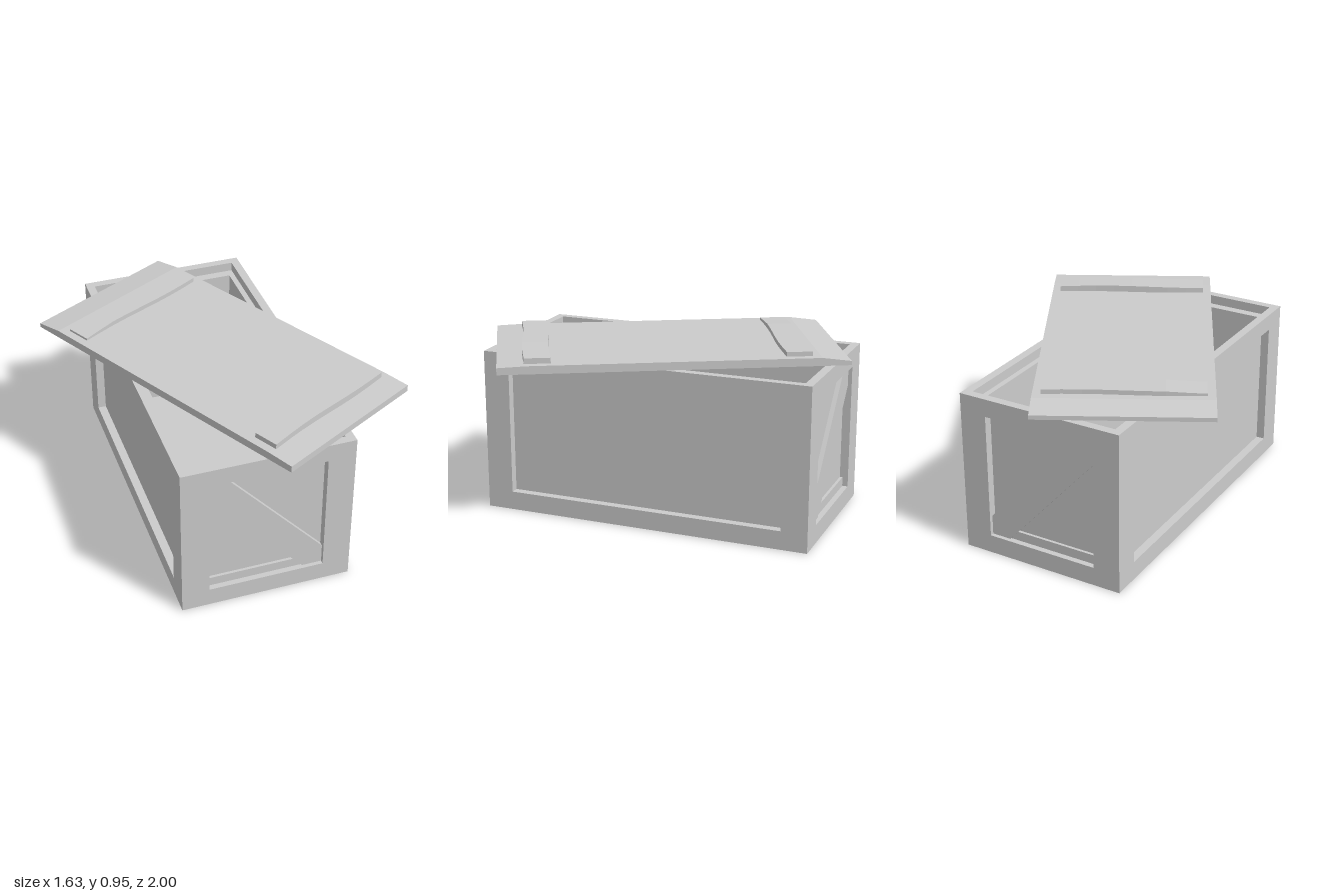
import * as THREE from 'three';

const mat = new THREE.MeshStandardMaterial({ color: 0xcccccc, flatShading: true });
const HX = 0.45, HZ = 0.897, H = 0.87; // half width, half length, height of the crate
const T = 0.045;                       // frame thickness

function add(parent, geo, name, x = 0, y = 0, z = 0) {
  const m = new THREE.Mesh(geo, mat);
  m.name = name;
  m.position.set(x, y, z);
  parent.add(m);
  return m;
}

function polygon(points) {
  return new THREE.Shape(points.map(([x, y]) => new THREE.Vector2(x, y)));
}

const rect = (x0, y0, x1, y1) => [[x0, y0], [x1, y0], [x1, y1], [x0, y1]];

// Flat slab with a rectangular opening, extruded along +z
function frame(outer, inner, depth) {
  const s = polygon(rect(...outer));
  s.holes.push(polygon(rect(...inner)));
  return new THREE.ExtrudeGeometry(s, { depth, bevelEnabled: false });
}

// Board with its vertices shifted by a rule
function warpedBoard(w, h, d, sx, sz, rule) {
  const g = new THREE.BoxGeometry(w, h, d, sx, 1, sz);
  const p = g.attributes.position, v = new THREE.Vector3();
  for (let i = 0; i < p.count; i++) {
    v.fromBufferAttribute(p, i);
    rule(v);
    p.setXYZ(i, v.x, v.y, v.z);
  }
  g.computeVertexNormals();
  return g;
}

export function createModel() {
  const model = new THREE.Group();
  model.name = 'openCrate';

  const crate = new THREE.Group();
  crate.name = 'crateBody';
  crate.position.set(-0.03, 0, -0.028);
  model.add(crate);

  // Long sides: frame with a recessed panel
  for (const s of [1, -1]) {
    const side = new THREE.Group();
    side.name = s > 0 ? 'leftSide' : 'rightSide';
    side.rotation.y = s * Math.PI / 2;
    side.position.x = s * (HX - T);
    crate.add(side);
    add(side, frame([-HZ, 0, HZ, H], [-0.755, 0.1, 0.755, 0.78], T), 'sideFrame');
    add(side, new THREE.BoxGeometry(2 * HZ - 2 * T, 0.78, 0.03), 'sidePanel', 0, 0.43, -0.015);
  }

  // Short ends: frame, recessed panel, diagonal brace and bottom rail
  const brace = polygon([[-0.305, 0.775], [-0.305, 0.67], [0.2, 0.1],
    [0.305, 0.1], [0.305, 0.205], [-0.205, 0.775]]);
  for (const s of [1, -1]) {
    const end = new THREE.Group();
    end.name = s > 0 ? 'frontEnd' : 'backEnd';
    end.scale.z = s;
    end.position.z = s * (HZ - T);
    crate.add(end);
    const w = HX - T;
    add(end, frame([-w, 0, w, H], [-0.305, 0.1, 0.305, 0.775], T), 'endFrame');
    add(end, new THREE.BoxGeometry(2 * w, 0.78, 0.05), 'endPanel', 0, 0.43, -0.025);
    add(end, new THREE.ExtrudeGeometry(brace, { depth: 0.024, bevelEnabled: false }), 'diagonalBrace');
    add(end, new THREE.BoxGeometry(0.61, 0.06, 0.015), 'bottomRail', 0, 0.12, 0.0075);
  }

  // Base frame with a recessed floor
  const wx = HX - T, wz = HZ - T;
  const base = add(crate, frame([-wx, -wz, wx, wz], [-0.37, -0.795, 0.37, 0.795], 0.03), 'baseFrame');
  base.rotation.x = -Math.PI / 2;
  add(crate, new THREE.BoxGeometry(2 * wx, 0.03, 2 * wz), 'floor', 0, 0.045, 0);

  // Lid, turned askew, worn thinner towards its back edge
  const lid = new THREE.Group();
  lid.name = 'lid';
  lid.rotation.y = 0.491;
  lid.position.y = H;
  model.add(lid);
  const board = warpedBoard(0.89, 0.042, 1.79, 6, 12, (v) => {
    if (v.y < 0) return;
    v.y -= 0.02 * THREE.MathUtils.smoothstep(-v.z, 0.74, 0.895);
    v.y -= 0.006 * THREE.MathUtils.smoothstep(v.z, 0.74, 0.895);
  });
  add(lid, board, 'lidBoard', 0, 0.021, 0);

  // Uneven battens across the lid
  const battens = [
    { name: 'backBatten', z: -0.635, h: 0.024, rise: (x) => -0.012 * THREE.MathUtils.smoothstep(-x, 0.2, 0.4) },
    { name: 'frontBatten', z: 0.692, h: 0.03, rise: (x) => 0.005 * Math.cos((x - 0.05) * 5) },
  ];
  for (const b of battens) {
    const g = warpedBoard(0.805, b.h, 0.134, 8, 1, (v) => {
      if (v.y > 0) v.y += b.rise(v.x);
      else v.y -= 0.006; // seated in the board
      v.z += 0.006 * Math.sin(v.x * 8);
    });
    add(lid, g, b.name, 0, 0.042 + b.h / 2, b.z);
  }
  return model;
}
